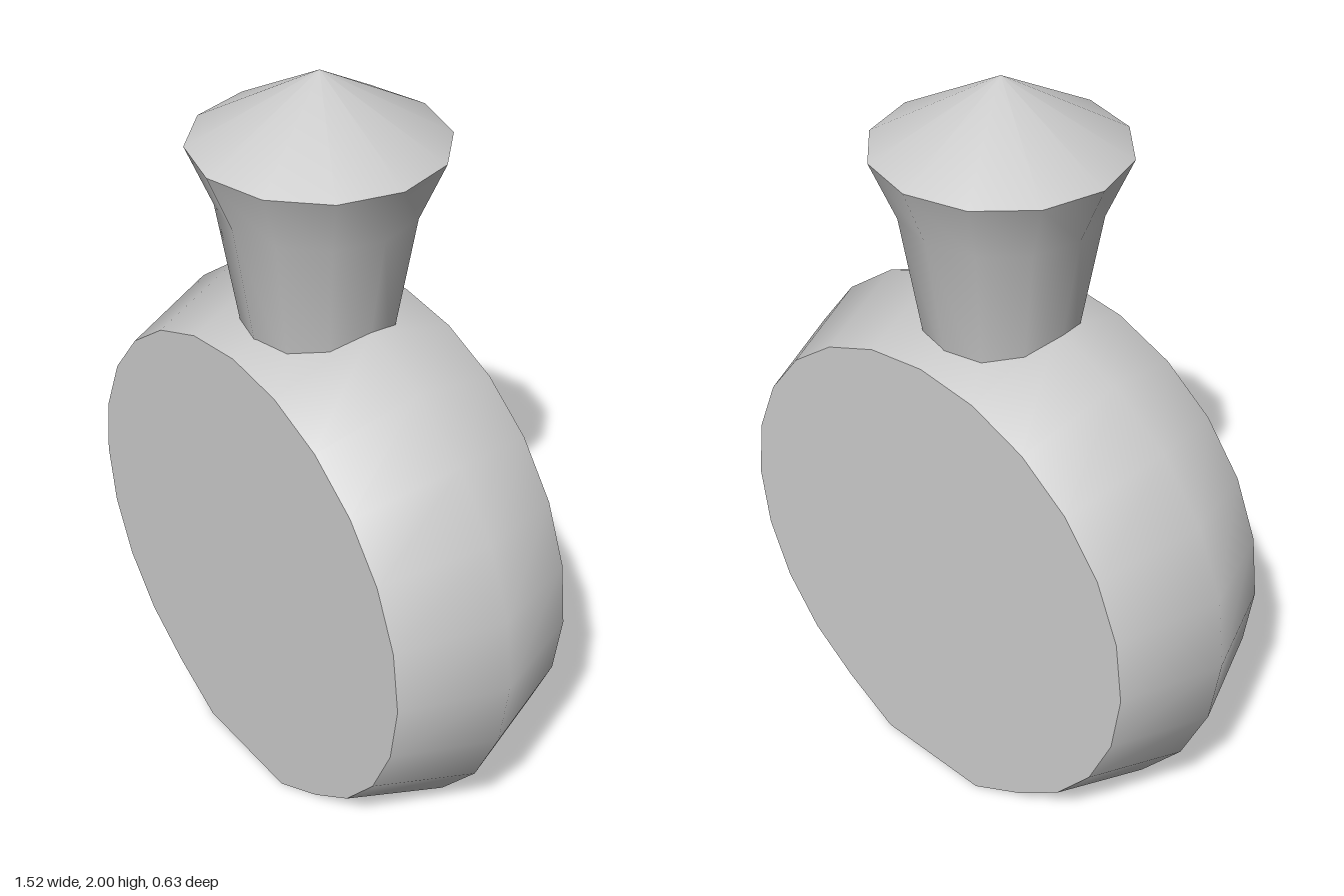
import * as THREE from 'three';
import { toCreasedNormals } from 'three/addons/utils/BufferGeometryUtils.js';

const material = new THREE.MeshStandardMaterial({ color: 0xcccccc });
const CENTRE_Y = 0.665;

const lathe = (profile, sides) =>
  new THREE.LatheGeometry(profile.map(([r, y]) => new THREE.Vector2(r, y)), sides);

function addPart(group, name, geometry) {
  // smooth walls, sharp rims
  const mesh = new THREE.Mesh(toCreasedNormals(geometry, THREE.MathUtils.degToRad(50)), material);
  mesh.name = name;
  group.add(mesh);
  return mesh;
}

// Round flask with a ridged band, turned to face forward
function bodyGeometry() {
  const geometry = lathe([[0, -0.268], [0.66, -0.268], [0.76, 0], [0.66, 0.268], [0, 0.268]], 24);
  geometry.rotateX(Math.PI / 2);
  geometry.translate(0, CENTRE_Y, 0);
  // Flatten the underside into a standing foot
  const p = geometry.attributes.position;
  for (let i = 0; i < p.count; i++) {
    if (p.getY(i) > 0.15) continue;
    if (Math.abs(p.getX(i)) < 0.21) p.setY(i, 0);
    else p.setY(i, Math.max(p.getY(i), 0.026));
  }
  return geometry;
}

export function createModel() {
  const group = new THREE.Group();
  group.name = 'flask';

  addPart(group, 'body', bodyGeometry());

  // Flared stopper with a pointed cap, sunk into the top of the body
  const stopper = addPart(group, 'stopper',
    lathe([[0, 1.28], [0.187, 1.28], [0.251, 1.67], [0.316, 1.825], [0, 2]], 12));
  stopper.position.x = -0.01;

  return group;
}
